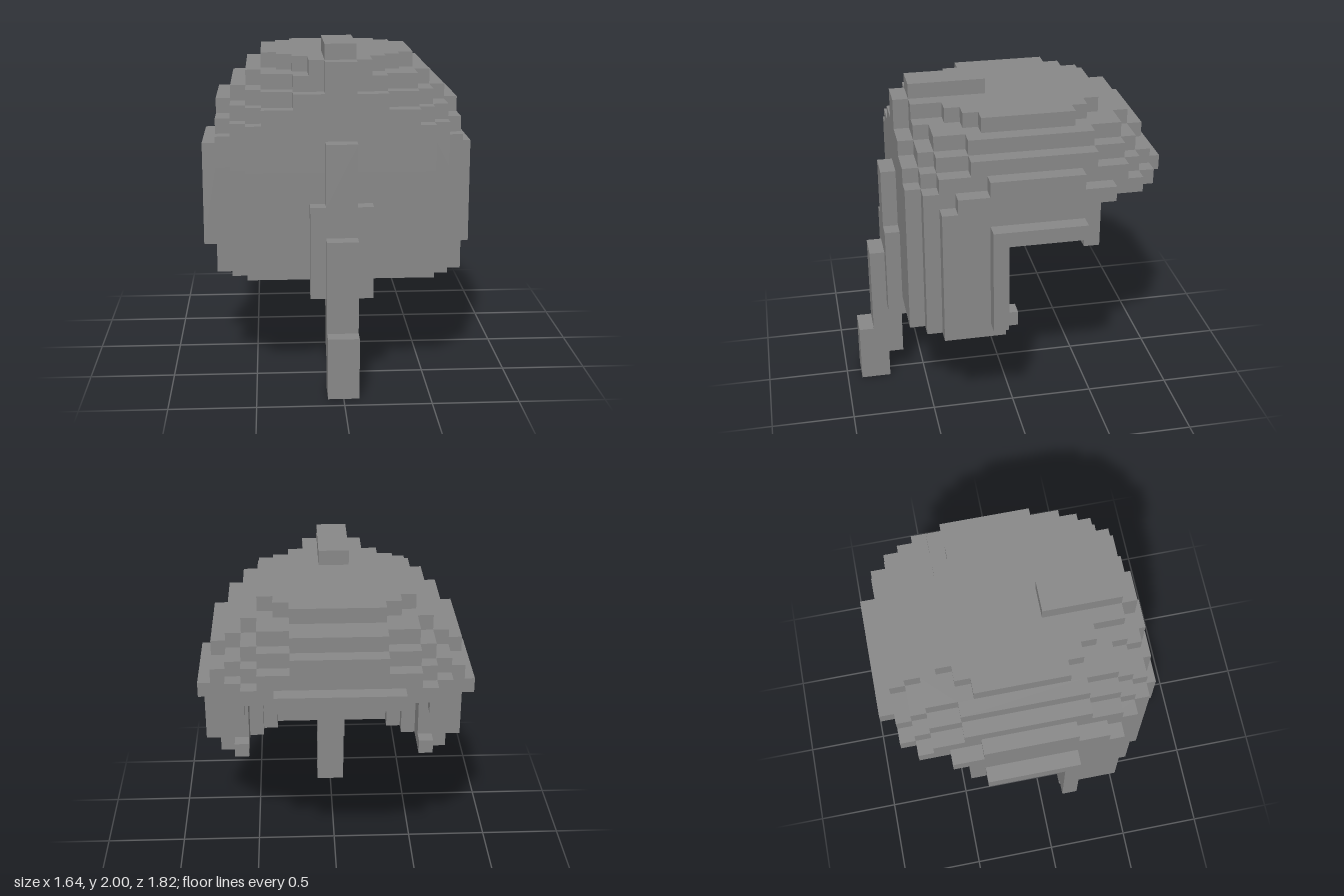
import * as THREE from 'three';

const U = 1 / 11; // size of one block

// Right-hand stepped edge from rows of [zStart, halfWidth]
function edge(rows, end) {
  const pts = [];
  rows.forEach(([z, w], i) => {
    const next = i + 1 < rows.length ? rows[i + 1][0] : end;
    pts.push(new THREE.Vector2(w, z), new THREE.Vector2(w, next));
  });
  return pts;
}
const flip = (pts) => pts.map((p) => new THREE.Vector2(-p.x, p.y));
const back = (pts) => [...pts].reverse();

// Mirrored slab of blocks from y0 to y1; the hollow is a hole, or a bay when it starts at the outer edge
function slab(outer, end, y0, y1, hollow, hollowEnd) {
  const out = edge(outer, end);
  let pts = [...out, ...back(flip(out))];
  const holes = [];
  if (hollow) {
    const inn = edge(hollow, hollowEnd);
    if (hollow[0][0] === outer[0][0]) pts = [...pts, ...flip(inn), ...back(inn)];
    else holes.push(new THREE.Path([...inn, ...back(flip(inn))]));
  }
  const shape = new THREE.Shape(pts);
  shape.holes = holes;
  const g = new THREE.ExtrudeGeometry(shape, { depth: y1 - y0, bevelEnabled: false });
  return g.rotateX(Math.PI / 2).translate(0, y1, 0).scale(U, U, U);
}

export function createModel() {
  const model = new THREE.Group();
  const hair = new THREE.MeshStandardMaterial({ color: 0x888888 });
  hair.name = 'hair grey';

  const add = (name, geometry) => {
    const mesh = new THREE.Mesh(geometry, hair);
    mesh.name = name;
    model.add(mesh);
  };
  const box = (name, x0, x1, y0, y1, z0, z1) => add(name,
    new THREE.BoxGeometry((x1 - x0) * U, (y1 - y0) * U, (z1 - z0) * U)
      .translate((x0 + x1) / 2 * U, (y0 + y1) / 2 * U, (z0 + z1) / 2 * U));

  // Hanging curtain and the band above the ears, open toward -z
  const bay = [[3, 5], [4, 4]];
  add('curtain', slab([[1, 8], [5, 7], [6, 6]], 7, 7, 14, [[1, 6], ...bay], 5));
  add('earBand', slab([[-5, 8], [5, 7], [6, 6]], 7, 14, 16, [[-5, 6], ...bay], 5));

  // Stepped dome, hollow below
  add('fringeLayer', slab([[-10, 4], [-9, 6], [-8, 7], [-6, 8], [4, 7], [6, 6]], 7, 16, 17,
    [[-6, 4], [-5, 5], [-4, 6], [2, 5], [4, 4]], 5));
  add('domeLayer1', slab([[-9, 5], [-8, 6], [-7, 7], [-4, 8], [2, 7], [5, 6], [6, 5]], 7, 17, 18,
    [[-6, 3], [-5, 4], [-4, 5], [2, 4], [3, 3]], 4));
  add('domeLayer2', slab([[-9, 3], [-8, 5], [-7, 6], [-5, 7], [3, 6], [5, 5], [6, 3]], 7, 18, 19,
    [[-5, 3], [-4, 4], [2, 3]], 3));
  add('domeLayer3', slab([[-8, 3], [-7, 5], [-5, 6], [3, 5], [5, 3], [6, 1]], 7, 19, 20));
  add('domeTop', slab([[-6, 3], [-5, 4], [-4, 5], [2, 4], [3, 3], [4, 2], [6, 1]], 7, 20, 21));
  box('crest', -1, 1, 21, 22, 1, 6);

  // Side locks
  for (const s of [-1, 1]) {
    const side = (name, a, b, ...rest) => box(name, Math.min(s * a, s * b), Math.max(s * a, s * b), ...rest);
    side('sideLockTop', 8, 9, 14, 15, -4, 2);
    side('sideLock', 8, 9, 8, 14, 1, 2);
    side('templeLock', 6, 8, 13, 14, -5, -4);
    side('curtainTip', 6, 7, 7, 8, 0, 1);
  }

  // Tail stepping down and outward
  box('tailRoot', -1, 1, 12, 16, 7, 8);
  box('tailBase', -2, 2, 6, 12, 7, 8);
  box('tailInner', -1, 1, 5, 7, 6, 7);
  box('tailUnder', -1, 1, 2, 6, 7, 8);
  box('tailMiddle', -1, 1, 0, 10, 8, 9);
  box('tailEnd', -1, 1, 0, 4, 9, 10);
  return model;
}
